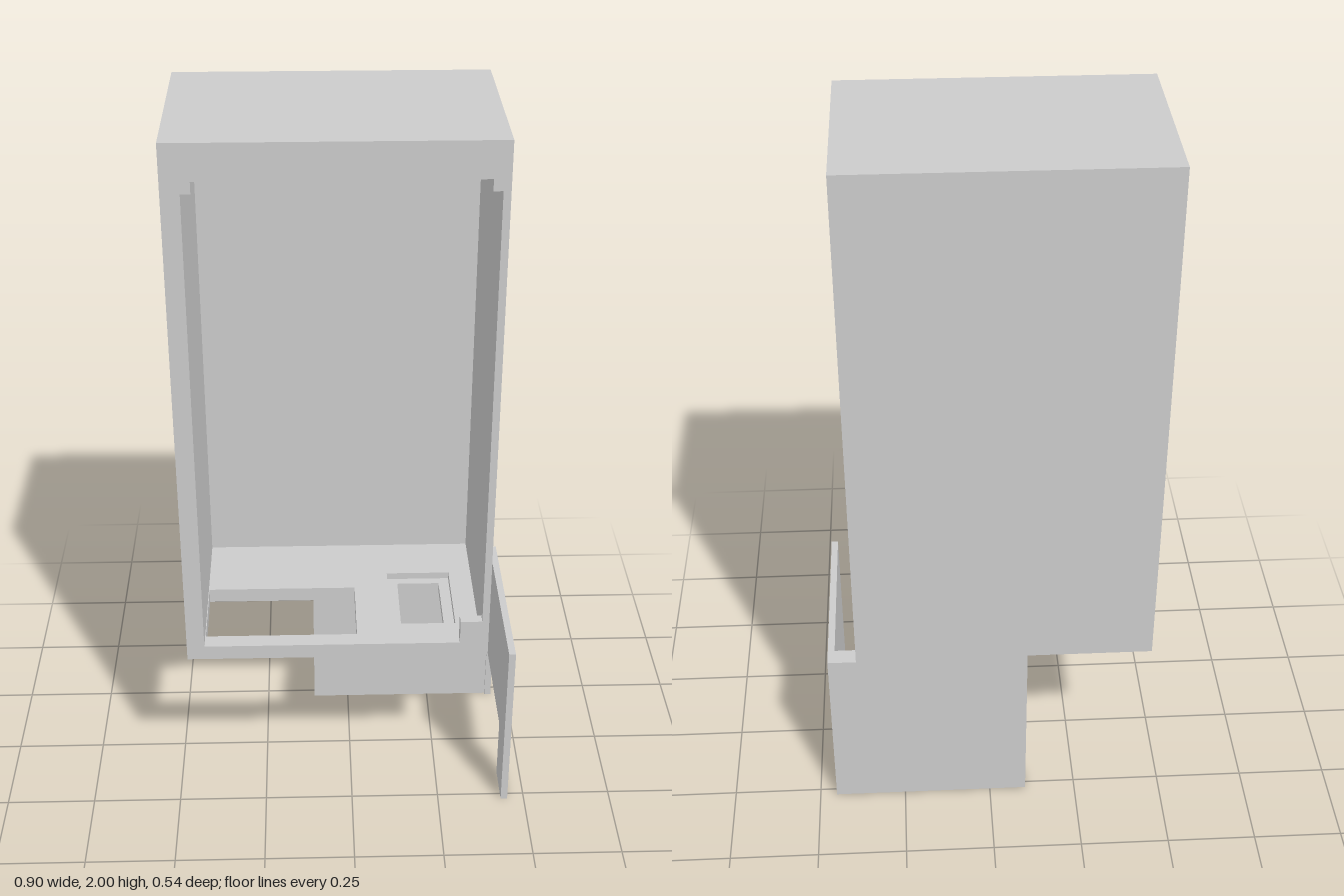
import * as THREE from 'three';

const material = new THREE.MeshStandardMaterial({ color: 0xcccccc, flatShading: true });

// Box given by its minimum and maximum corners
function block(name, [x0, y0, z0], [x1, y1, z1]) {
  const geometry = new THREE.BoxGeometry(x1 - x0, y1 - y0, z1 - z0);
  geometry.translate((x0 + x1) / 2, (y0 + y1) / 2, (z0 + z1) / 2);
  const mesh = new THREE.Mesh(geometry, material);
  mesh.name = name;
  return mesh;
}

const points = (list) => list.map(([x, y]) => new THREE.Vector2(x, y));
const rect = (x0, y0, x1, y1) => [[x0, y0], [x1, y0], [x1, y1], [x0, y1]];

// Flat plate with cut-outs, extruded along its own z
function plate(name, outline, holes, depth) {
  const shape = new THREE.Shape(points(outline));
  for (const hole of holes) shape.holes.push(new THREE.Path(points(hole)));
  const geometry = new THREE.ExtrudeGeometry(shape, { depth, bevelEnabled: false });
  const mesh = new THREE.Mesh(geometry, material);
  mesh.name = name;
  return mesh;
}

// Horizontal plate: outline is in x and -z, resting at height y
function floorPlate(name, outline, holes, depth, y) {
  const mesh = plate(name, outline, holes, depth);
  mesh.geometry.rotateX(-Math.PI / 2);
  mesh.geometry.translate(0, y, 0);
  return mesh;
}

export function createModel() {
  const model = new THREE.Group();

  // Main cabinet dimensions
  const L = -0.453, R = 0.373, B = 0.524, T = 2, Z = 0.272;
  const inL = -0.405, inR = 0.354, inB = 0.566, inT = 1.905;
  const backZ = -0.222, lipZ = Z - 0.03;

  const cabinet = new THREE.Group();
  cabinet.name = 'cabinet';
  cabinet.add(
    block('backWall', [L, B, -Z], [R, T, backZ]),
    block('leftWall', [inR, B, backZ], [R, T, lipZ]),
    block('rightWall', [L, B, backZ], [inL, T, lipZ]),
    block('roof', [inL, inT, backZ], [inR, T, lipZ]),
    block('roofRib', [-0.345, 1.895, lipZ - 0.03], [0.29, inT, lipZ]),
  );

  // Front frame with stepped corners around the opening
  const opening = [
    [inL, inB], [0.295, inB], [0.295, 0.635], [inR, 0.635], [inR, 1.875], [0.33, 1.875],
    [0.33, inT], [-0.38, inT], [-0.38, 1.875], [inL, 1.875],
  ];
  const frame = plate('frontFrame', rect(L, B, R, T), [opening], Z - lipZ);
  frame.position.z = lipZ;
  cabinet.add(frame);

  // Floor: large cut-out beside the wall and a stepped slot
  const floorOutline = rect(inL, -lipZ, inR, -backZ);
  const bigHole = rect(inL + 0.002, -0.225, 0.014, 0);
  const mid = B + 0.022;
  cabinet.add(
    floorPlate('floorTop', floorOutline, [bigHole, rect(0.11, -0.18, 0.29, 0.07)], inB - mid, mid),
    floorPlate('floorBottom', floorOutline, [bigHole, rect(0.14, -0.155, 0.26, 0.045)], mid - B, B),
  );
  model.add(cabinet);

  // Lower bracket: back plate and notched side plate
  const bracket = new THREE.Group();
  bracket.name = 'bracket';
  bracket.add(block('bracketBack', [-0.105, 0, -Z], [0.452, 0.522, backZ]));
  const side = plate('bracketSide', [
    [-Z, 0], [-0.155, 0], [-0.155, 0.185], [0.215, 0.185],
    [0.215, 0], [0.222, 0], [0.222, 0.522], [-Z, 0.522],
  ], [], 0.019);
  side.rotation.y = Math.PI / 2;
  side.position.x = 0.433;
  bracket.add(side);
  // Joint strip between the bracket and the cabinet
  bracket.add(block('bracketJoint', [-0.105, 0.515, -Z], [R, B, backZ]));
  model.add(bracket);

  return model;
}
